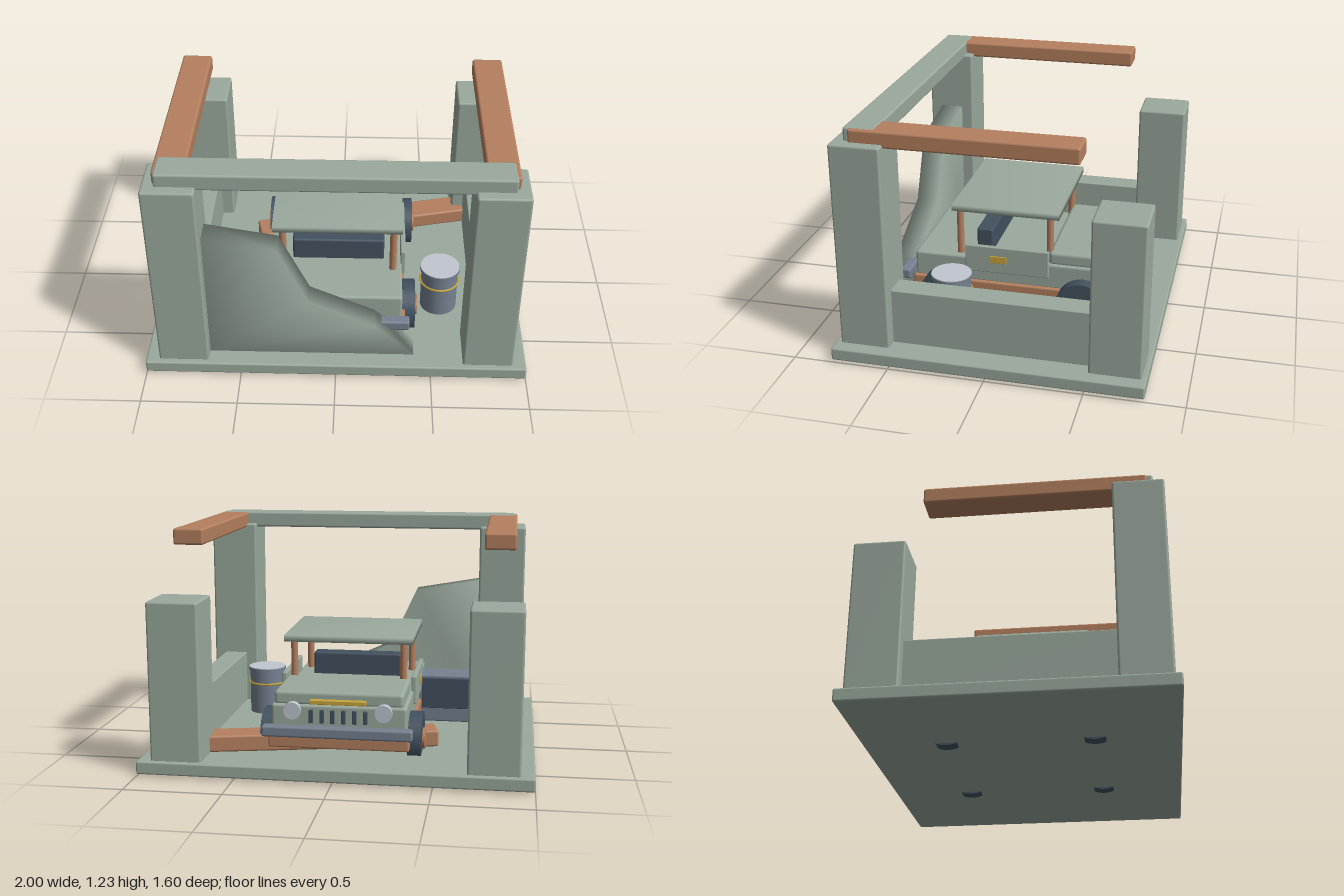
import * as THREE from 'three';
import { mergeVertices } from 'three/addons/utils/BufferGeometryUtils.js';
import { RoundedBoxGeometry } from 'three/addons/geometries/RoundedBoxGeometry.js';

const mat = (name, color) => Object.assign(new THREE.MeshStandardMaterial({ color }), { name });

export function createModel() {
  const stone = mat('sage grey', 0x9aa99d);
  const copper = mat('copper brown', 0xb5805f);
  const slate = mat('slate', 0x768191);
  const navy = mat('dark navy', 0x42515f);
  const silver = mat('pale silver', 0xc0c6d0);
  const gold = mat('gold', 0xc9a63a);

  const model = new THREE.Group();
  model.name = 'ruinedGarage';
  const jeep = new THREE.Group();
  jeep.name = 'jeep';
  model.add(jeep);

  const add = (parent, name, geometry, material, x = 0, y = 0, z = 0) => {
    const m = new THREE.Mesh(geometry, material);
    m.name = name;
    m.position.set(x, y, z);
    parent.add(m);
    return m;
  };
  // Softly bevelled box given by its limits
  const box = (parent, name, material, [x0, x1], [y0, y1], [z0, z1], r = 0.01) => {
    const w = x1 - x0, h = y1 - y0, d = z1 - z0;
    return add(parent, name, new RoundedBoxGeometry(w, h, d, 2, Math.min(r, w / 3, h / 3, d / 3)),
      material, (x0 + x1) / 2, (y0 + y1) / 2, (z0 + z1) / 2);
  };
  // Share normals across edges for a soft, cloth-like shading
  const soften = (g) => {
    g.deleteAttribute('normal');
    g.deleteAttribute('uv');
    const s = mergeVertices(g, 1e-4);
    s.computeVertexNormals();
    return s;
  };

  // Ground slab
  box(model, 'floorSlab', stone, [-1, 1], [0.012, 0.08], [-0.8, 0.8]);

  // Pillars, side walls and roof beams
  for (const s of [-1, 1]) {
    const span = (a, b) => (s > 0 ? [a, b] : [-b, -a]);
    box(model, 'frontPillar', stone, span(0.667, 0.93), [0.07, 1.16], [0.51, 0.77], 0.012);
    box(model, 'backPillar', stone, span(0.667, 0.93), [0.07, 0.895], [-0.775, -0.51], 0.012);
    box(model, 'sideWall', stone, span(0.735, 0.865), [0.07, 0.375], [-0.54, 0.54], 0.006);
    box(model, 'sideBeam', copper, span(0.72, 0.88), [1.14, 1.225], [-0.445, 0.685], 0.012);
  }
  box(model, 'frontBeam', stone, [-0.868, 0.863], [1.14, 1.228], [0.555, 0.715], 0.012);

  // Broken front wall
  const outline = [[-0.69, 0.075], [0.415, 0.075], [0.2, 0.28], [-0.14, 0.435], [-0.295, 0.77], [-0.69, 0.84]];
  const wall = new THREE.ExtrudeGeometry(new THREE.Shape(outline.map(([x, y]) => new THREE.Vector2(x, y))),
    { depth: 0.125, bevelEnabled: false });
  add(model, 'brokenWall', soften(wall), stone, 0, 0, 0.577);

  // Fallen beam lying at a slant
  const fallen = box(model, 'fallenBeam', copper, [-0.5, 0.79], [0.08, 0.168], [-0.076, 0.076], 0.012);
  fallen.position.z = -0.4;
  fallen.rotation.y = 0.23;

  // Chest with a dark panel
  box(model, 'chest', slate, [-0.67, -0.33], [0.08, 0.35], [0.167, 0.352]);
  box(model, 'chestPanel', navy, [-0.64, -0.37], [0.16, 0.335], [0.157, 0.169], 0.003);

  // Barrel
  const barrel = new THREE.Group();
  barrel.name = 'barrel';
  barrel.position.set(0.556, 0, 0.287);
  model.add(barrel);
  add(barrel, 'barrelBody', new THREE.CylinderGeometry(0.1, 0.1, 0.255, 24), slate, 0, 0.205, 0);
  add(barrel, 'barrelRim', new THREE.CylinderGeometry(0.108, 0.108, 0.018, 24), slate, 0, 0.336, 0);
  add(barrel, 'barrelLid', new THREE.CylinderGeometry(0.106, 0.106, 0.005, 24), silver, 0, 0.3465, 0);
  add(barrel, 'barrelBand', new THREE.TorusGeometry(0.104, 0.006, 6, 24), gold, 0, 0.255, 0)
    .rotation.x = Math.PI / 2;

  // Jeep chassis, body and hood (nose towards the back)
  box(jeep, 'chassis', copper, [-0.365, 0.365], [0.115, 0.21], [-0.57, 0.565]);
  box(jeep, 'body', stone, [-0.352, 0.347], [0.2, 0.345], [-0.565, 0.555], 0.015);
  box(jeep, 'hood', stone, [-0.335, 0.335], [0.335, 0.412], [-0.55, -0.185], 0.02);
  for (const [name, z] of [['noseBumper', -0.607], ['tailBumper', 0.607]])
    box(jeep, name, slate, [-0.387, 0.387], [0.188, 0.245], [z - 0.03, z + 0.03], 0.012);
  box(jeep, 'seatBack', navy, [-0.25, 0.25], [0.33, 0.47], [0.143, 0.233], 0.012);

  // Sides, wheels, posts and lamps, mirrored
  for (const s of [-1, 1]) {
    box(jeep, 'sidePanel', stone, s > 0 ? [0.34, 0.366] : [-0.366, -0.34], [0.27, 0.422], [-0.19, 0.268], 0.006);
    box(jeep, 'sideBadge', gold, s > 0 ? [0.364, 0.371] : [-0.371, -0.364], [0.33, 0.37], [0.04, 0.13], 0.002);
    for (const z of [-0.375, 0.37]) {
      add(jeep, 'wheel', new THREE.CylinderGeometry(0.14, 0.14, 0.07, 24), navy, s * 0.385, 0.14, z)
        .rotation.z = Math.PI / 2;
      add(jeep, 'hub', new THREE.CylinderGeometry(0.055, 0.055, 0.08, 16), copper, s * 0.393, 0.14, z)
        .rotation.z = Math.PI / 2;
    }
    for (const z of [-0.185, 0.31])
      add(jeep, 'canopyPost', new THREE.CylinderGeometry(0.019, 0.019, 0.28, 12), copper, s * 0.297, 0.475, z);
    add(jeep, 'headlamp', new THREE.CylinderGeometry(0.045, 0.045, 0.035, 20), silver, s * 0.235, 0.315, -0.568)
      .rotation.x = Math.PI / 2;
  }

  // Grille slots and gold nose strip
  for (let i = 0; i < 6; i++) {
    const x = (i - 2.5) * 0.056;
    box(jeep, 'grilleSlot', navy, [x - 0.011, x + 0.011], [0.252, 0.322], [-0.574, -0.56], 0.003);
  }
  box(jeep, 'noseStrip', gold, [-0.145, 0.145], [0.352, 0.374], [-0.582, -0.545], 0.003);

  // Canopy
  add(jeep, 'canopy', soften(new THREE.BoxGeometry(0.695, 0.034, 0.583)), stone, -0.003, 0.622, 0.052);

  return model;
}
